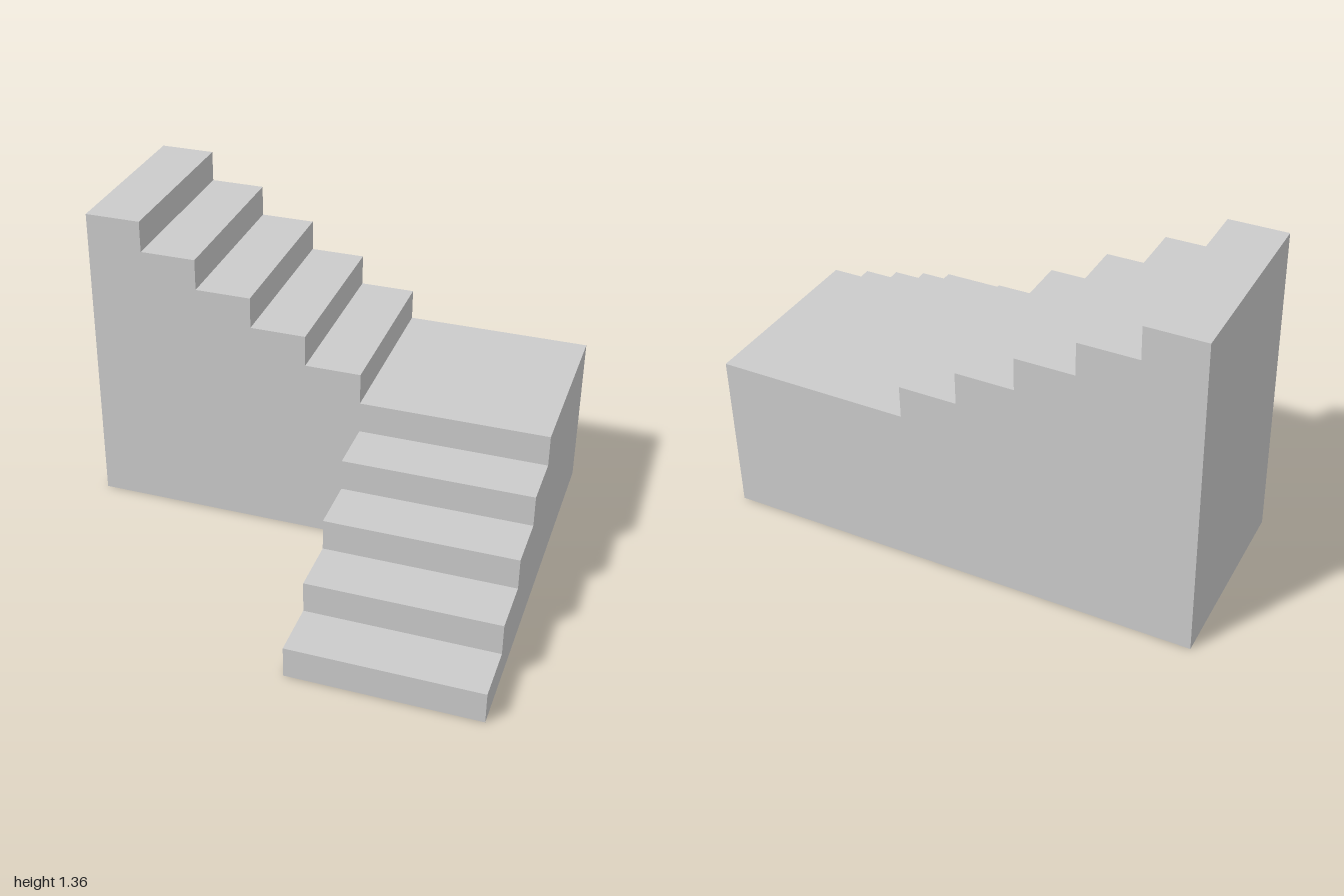
import * as THREE from 'three';

const RISE = 0.136, RUN = 0.24, STEPS = 5;
const FACES = ['+x', '-x', '+y', '-y', '+z', '-z'];
const material = new THREE.MeshStandardMaterial({
  color: 0xcccccc, flatShading: true, side: THREE.DoubleSide,
});

// Thin-walled box between two corners, keeping only the listed faces
function shell(name, [x0, y0, z0], [x1, y1, z1], keep) {
  const geo = new THREE.BoxGeometry(x1 - x0, y1 - y0, z1 - z0);
  const index = Array.from(geo.index.array);
  geo.setIndex(index.filter((_, i) => keep.includes(FACES[Math.floor(i / 6)])));
  geo.clearGroups();
  geo.translate((x0 + x1) / 2, (y0 + y1) / 2, (z0 + z1) / 2);
  const mesh = new THREE.Mesh(geo, material);
  mesh.name = name;
  return mesh;
}

export function createModel() {
  const model = new THREE.Group();
  model.name = 'cornerStaircase';
  const landingY = RISE * STEPS;

  // Lower flight: stacked layers rising toward the back, open below and behind
  const lowerFlight = new THREE.Group();
  lowerFlight.name = 'lowerFlight';
  for (let i = 0; i < STEPS; i++) {
    lowerFlight.add(shell(`lowerStep${i + 1}`,
      [0.2, i * RISE, -0.32], [1, (i + 1) * RISE, 0.88 - i * RUN],
      ['+x', '-x', '+y', '+z']));
  }

  // Landing behind the top lower step, filling the corner
  const landing = shell('landing', [0.2, 0, -0.88], [1, landingY, -0.32], ['+x', '+y', '-z']);

  // Upper flight: hollow base with layers rising toward -x
  const upperFlight = new THREE.Group();
  upperFlight.name = 'upperFlight';
  upperFlight.add(shell('upperBase', [-1, 0, -0.88], [0.2, landingY, -0.08], ['-x', '+z', '-z']));
  for (let i = 0; i < STEPS; i++) {
    const y = landingY + i * RISE;
    upperFlight.add(shell(`upperStep${i + 1}`,
      [-1, y, -0.88], [0.2 - i * RUN, y + RISE, -0.08],
      ['+x', '-x', '+y', '+z', '-z']));
  }

  model.add(lowerFlight, landing, upperFlight);
  return model;
}
